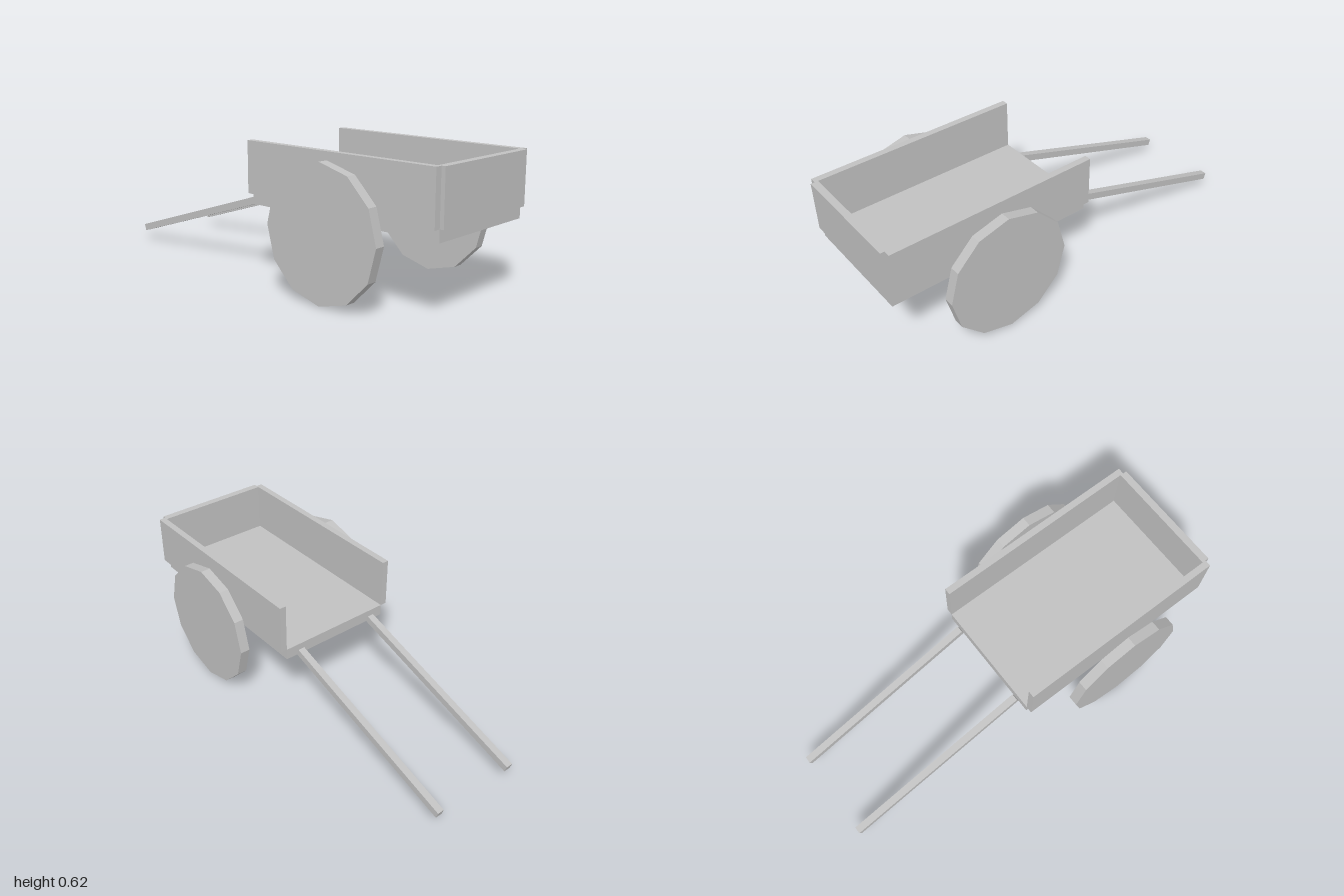
import * as THREE from 'three';

export function createModel() {
  const model = new THREE.Group();
  model.name = 'handcart';

  const grey = new THREE.MeshStandardMaterial({ color: 0xc0c0c0, flatShading: true });
  grey.name = 'plain grey';

  // The cart stands turned ten degrees; all parts use its own axes.
  const cart = new THREE.Group();
  cart.name = 'cart';
  cart.rotation.y = THREE.MathUtils.degToRad(10);
  model.add(cart);

  const body = new THREE.Group();
  body.name = 'body';
  body.position.x = -0.0625;
  cart.add(body);

  function add(name, geometry, x, y, z) {
    const mesh = new THREE.Mesh(geometry, grey);
    mesh.name = name;
    mesh.position.set(x, y, z);
    body.add(mesh);
    return mesh;
  }

  // Bed, closed at the front and open at the back
  add('floor', new THREE.BoxGeometry(0.563, 0.053, 1.003), 0, 0.3595, 0.4345);
  add('frontBoard', new THREE.BoxGeometry(0.563, 0.235, 0.034), 0, 0.5035, 0.937);

  const boardGeometry = new THREE.BoxGeometry(0.031, 0.235, 1.003);
  const wheelGeometry = new THREE.CylinderGeometry(0.296, 0.296, 0.047, 12);
  wheelGeometry.rotateZ(Math.PI / 2);
  const shaftGeometry = new THREE.BoxGeometry(0.033, 0.033, 0.955);

  for (const [side, s] of [['left', 1], ['right', -1]]) {
    add(side + 'SideBoard', boardGeometry, s * 0.297, 0.5035, 0.4345);
    add(side + 'Wheel', wheelGeometry, s * 0.369, 0.296, 0.434);
    // Pulling shaft sloping down to the back
    const shaft = add(side + 'Shaft', shaftGeometry, s * 0.2075, 0.2055, -0.5275);
    shaft.rotation.x = -THREE.MathUtils.degToRad(17.4);
  }

  return model;
}
